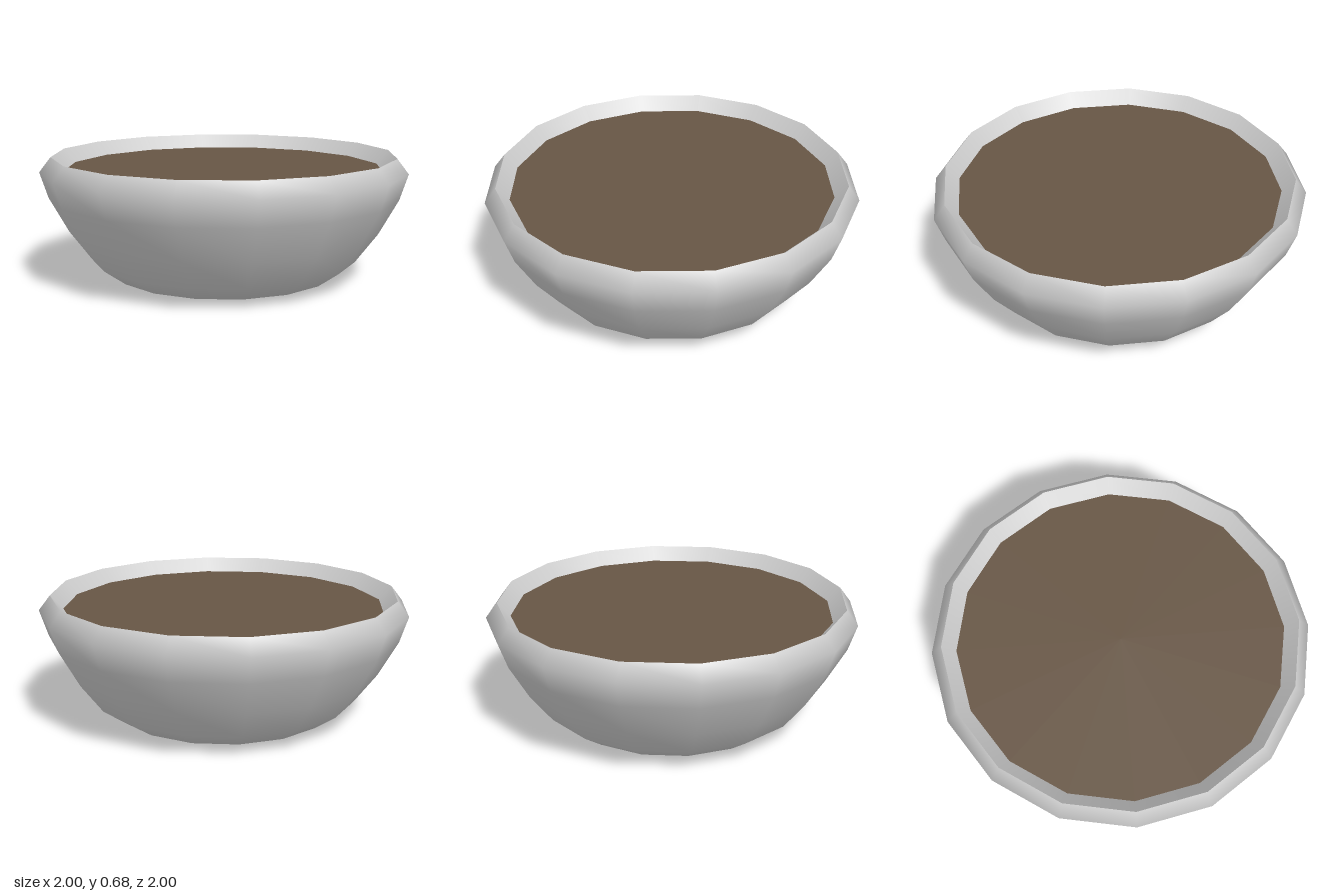
import * as THREE from 'three';

const SIDES = 16;

// Revolve [radius, height] pairs around the y axis
function revolve(name, profile, material) {
  const points = profile.map(([r, y]) => new THREE.Vector2(r, y));
  const mesh = new THREE.Mesh(new THREE.LatheGeometry(points, SIDES), material);
  mesh.name = name;
  return mesh;
}

export function createModel() {
  const group = new THREE.Group();
  group.name = 'plantBowl';
  const grey = new THREE.MeshStandardMaterial({ color: 0xcccccc });
  const brown = new THREE.MeshStandardMaterial({ color: 0x675645 });

  // Smooth outer shell from the base centre to the rim
  group.add(revolve('bowl', [
    [0, 0], [0.49, 0.005], [0.61, 0.025], [0.73, 0.11],
    [0.85, 0.27], [0.955, 0.46], [1, 0.6], [0.938, 0.68],
  ], grey));

  // Inner lip, a separate surface so the rim edge stays sharp
  group.add(revolve('innerLip', [[0.938, 0.68], [0.87, 0.605]], grey));

  // Flat soil filling the bowl
  const soil = new THREE.Mesh(new THREE.CircleGeometry(0.87, SIDES), brown);
  soil.name = 'soil';
  soil.rotation.x = -Math.PI / 2;
  soil.position.y = 0.605;
  group.add(soil);

  return group;
}
